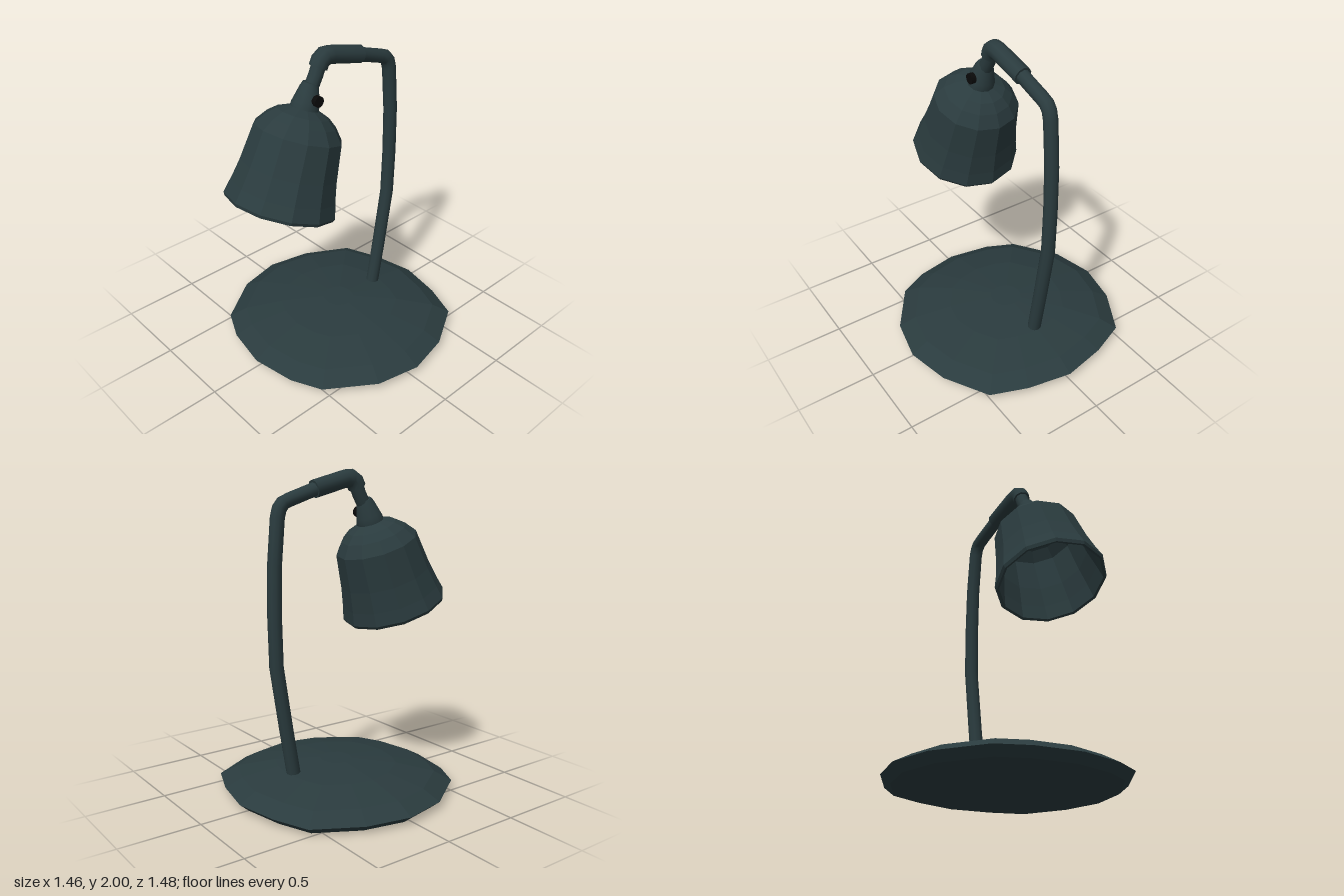
import * as THREE from 'three';
import { toCreasedNormals } from 'three/addons/utils/BufferGeometryUtils.js';

const metal = new THREE.MeshStandardMaterial({ color: 0x2a3b3e });
const facetedMetal = new THREE.MeshStandardMaterial({ color: 0x2a3b3e, flatShading: true });
const black = new THREE.MeshStandardMaterial({ color: 0x0a0a0a });

function part(name, geometry, material) {
  const mesh = new THREE.Mesh(geometry, material);
  mesh.name = name;
  return mesh;
}

function lathe(profile, sides) {
  return new THREE.LatheGeometry(profile.map(([r, y]) => new THREE.Vector2(r, y)), sides);
}

// Capped pipe bent along [z, y] points in the plane x = 0, with mitred corners
function bentPipe(path, radius, sides = 10) {
  const pts = path.map(([z, y]) => new THREE.Vector3(0, y, z));
  const last = pts.length - 1;
  const dir = (a, b) => new THREE.Vector3().subVectors(pts[a], pts[b]).normalize();
  const frames = pts.map((p, i) => {
    const before = dir(Math.max(i - 1, 0), Math.max(i, 1));
    const after = dir(Math.min(i, last - 1), Math.min(i + 1, last));
    const up = before.clone().add(after).normalize();
    const side = new THREE.Vector3(1, 0, 0).cross(up).divideScalar(up.dot(before));
    return { p, side };
  });
  const geo = new THREE.CylinderGeometry(radius, radius, 1, sides, last);
  const pos = geo.attributes.position;
  const v = new THREE.Vector3();
  for (let i = 0; i < pos.count; i++) {
    const { p, side } = frames[Math.round((0.5 - pos.getY(i)) * last)];
    v.copy(p).addScaledVector(side, pos.getZ(i));
    pos.setXYZ(i, pos.getX(i), v.y, v.z);
  }
  return toCreasedNormals(geo, 0.9);
}

// Domed base: a 16-sided lathe pulled to a slightly uneven outline
function createBase() {
  const profile = [[0, 0], [0.67, 0], [0.73, 0.05], [0.62, 0.11], [0.38, 0.162], [0.1, 0.19], [0, 0.19]];
  const half = [[0, 0.71], [0.28, 0.66], [0.47, 0.57], [0.67, 0.28], [0.73, 0],
    [0.67, -0.28], [0.51, -0.56], [0.28, -0.65], [0, -0.705]];
  const geo = lathe(profile, 16);
  const pos = geo.attributes.position;
  for (let i = 0; i < pos.count; i++) {
    const k = Math.floor(i / profile.length);
    const [x, z] = half[k > 8 ? 16 - k : k];
    const s = profile[i % profile.length][0] / 0.73;
    pos.setXYZ(i, (k > 8 ? -x : x) * s, pos.getY(i), z * s);
  }
  const base = part('base', geo, facetedMetal);
  base.position.z = -0.038;
  return base;
}

// Tilted lamp head: hollow shade, socket and switch knob
function createHead() {
  const head = new THREE.Group();
  head.name = 'lampHead';
  const outer = [[0.33, 0], [0.339, 0.02], [0.318, 0.1], [0.292, 0.23], [0.263, 0.445],
    [0.208, 0.515], [0.155, 0.558], [0.08, 0.59], [0, 0.59]];
  const inner = [[0, 0.565], [0.14, 0.54], [0.195, 0.5], [0.245, 0.44], [0.274, 0.23], [0.3, 0.1], [0.315, 0.005]];
  head.add(part('shade', lathe([...inner, ...outer], 12), facetedMetal));

  const socket = lathe([[0.085, 0.575], [0.085, 0.605], [0.078, 0.63], [0.058, 0.705], [0.046, 0.735], [0, 0.735]], 12);
  head.add(part('socket', toCreasedNormals(socket, 0.6), metal));

  const stem = part('switchStem', new THREE.CylinderGeometry(0.018, 0.018, 0.05, 10), black);
  const knob = part('switchKnob', toCreasedNormals(new THREE.CylinderGeometry(0.033, 0.033, 0.03, 12), 0.7), black);
  stem.position.set(0.06, 0.652, -0.007);
  knob.position.set(0.082, 0.652, -0.007);
  for (const m of [stem, knob]) {
    m.rotation.z = -Math.PI / 2;
    head.add(m);
  }
  head.position.set(0, 1.125, 0.43);
  head.rotation.x = -0.35;
  return head;
}

export function createModel() {
  const lamp = new THREE.Group();
  lamp.name = 'deskLamp';
  lamp.add(createBase());

  // Curved post and its bend towards the front
  lamp.add(part('post', bentPipe([[-0.355, 0.12], [-0.41, 0.45], [-0.472, 0.85], [-0.479, 1.15], [-0.474, 1.45],
    [-0.449, 1.73], [-0.435, 1.78], [-0.41, 1.81], [-0.365, 1.828], [-0.17, 1.89]], 0.043), metal));

  // Thicker sleeve that continues down into the socket
  lamp.add(part('arm', bentPipe([[-0.195, 1.885], [0.035, 1.942], [0.075, 1.944], [0.105, 1.925], [0.123, 1.89]], 0.055), metal));
  lamp.add(part('neck', bentPipe([[0.105, 1.925], [0.123, 1.89], [0.14, 1.85], [0.185, 1.77]], 0.043), metal));

  lamp.add(createHead());
  return lamp;
}
